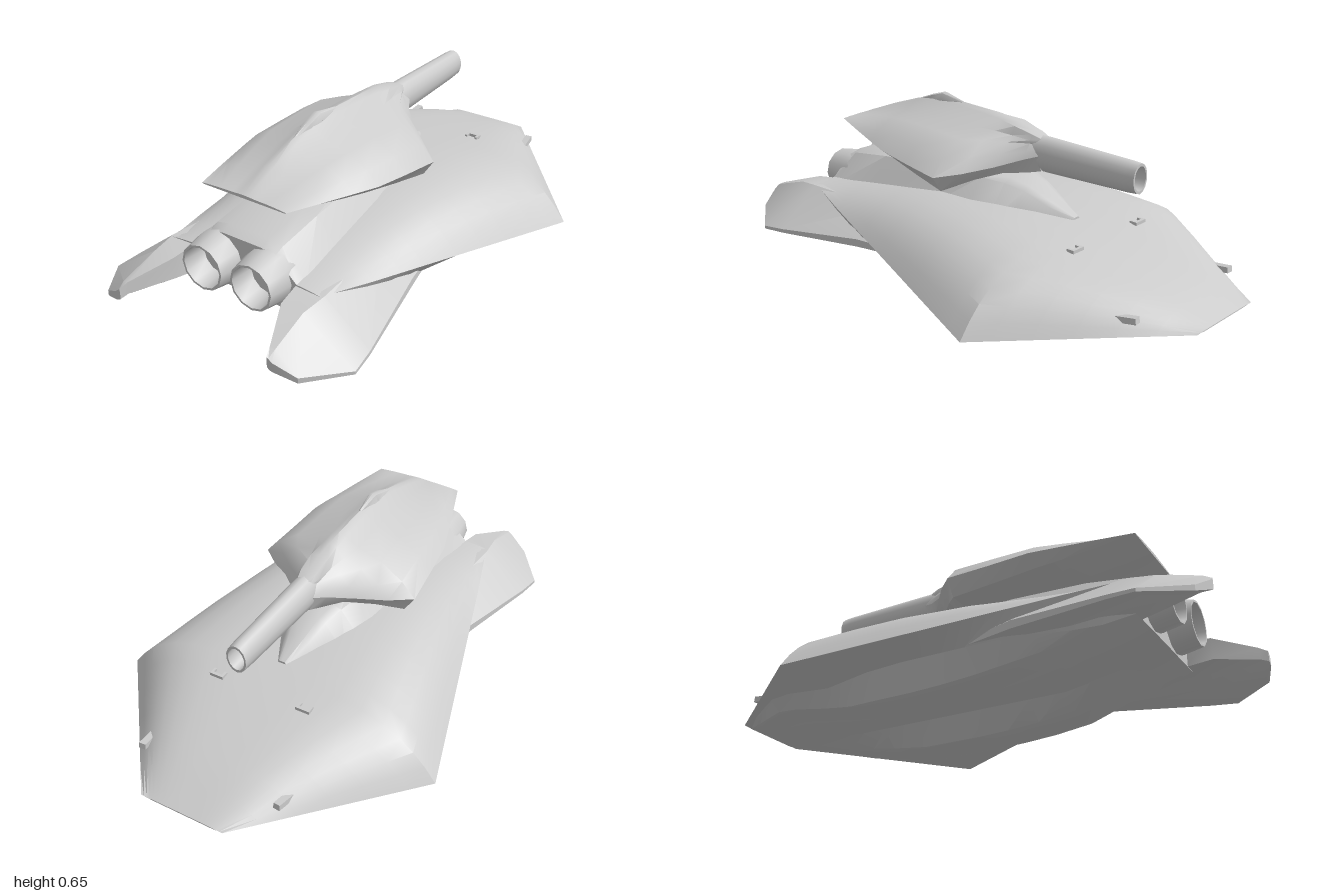
import * as THREE from 'three';
import { toCreasedNormals } from 'three/addons/utils/BufferGeometryUtils.js';

const grey = new THREE.MeshStandardMaterial({ color: 0xcccccc });
const greyOpen = new THREE.MeshStandardMaterial({ color: 0xcccccc, side: THREE.DoubleSide });

function part(name, geometry, material = grey) {
  const mesh = new THREE.Mesh(geometry, material);
  mesh.name = name;
  return mesh;
}

// Linear look-up in a short list of [z, value] keys
function at(keys, z) {
  for (let i = 1; i < keys.length; i++) {
    const [z0, a] = keys[i - 1], [z1, b] = keys[i];
    if (z <= z1) return a + (b - a) * Math.max(0, (z - z0) / (z1 - z0));
  }
  return keys[keys.length - 1][1];
}

// Skin over rings ordered by rising z; each ring runs clockwise seen from +z
function loft(rings, crease = 0.6) {
  const n = rings[0].length, pos = [], idx = [];
  rings.forEach(r => r.forEach(p => pos.push(...p)));
  for (let i = 0; i < rings.length - 1; i++) {
    for (let j = 0; j < n; j++) {
      const k = (j + 1) % n, a = i * n + j, b = i * n + k;
      idx.push(a, a + n, b + n, a, b + n, b);
    }
  }
  [0, rings.length - 1].forEach(i => {
    const c = [0, 1, 2].map(d => rings[i].reduce((s, p) => s + p[d], 0) / n);
    const m = pos.length / 3;
    pos.push(...c);
    for (let j = 0; j < n; j++) {
      const a = i * n + j, b = i * n + (j + 1) % n;
      if (i === 0) idx.push(m, a, b);
      else idx.push(m, b, a);
    }
  });
  const g = new THREE.BufferGeometry();
  g.setAttribute('position', new THREE.Float32BufferAttribute(pos, 3));
  g.setIndex(idx);
  return toCreasedNormals(g, crease);
}

// Full ring from its +x half, listed from top centre to bottom centre
function mirrorRing(half, z) {
  const right = half.map(([x, y]) => [x, y, z]);
  const left = half.slice(1, -1).reverse().map(([x, y]) => [-x, y, z]);
  return right.concat(left);
}

const edgeX = [[-1, 0.165], [-0.42, 0.65], [0.52, 0.385], [0.73, 0.32]];
const edgeY = [[-1, 0.11], [-0.42, 0.065], [0.55, 0.22], [0.73, 0.25]];
const deckY = [[-1, 0.112], [-0.9, 0.155], [-0.8, 0.193], [-0.6, 0.25], [-0.42, 0.287], [-0.25, 0.312],
  [-0.1, 0.325], [0.15, 0.325], [0.4, 0.3], [0.73, 0.262]];
const keelY = [[-1, 0.108], [-0.7, 0.058], [-0.5, 0.022], [-0.35, 0], [-0.1, 0], [0.1, 0.008], [0.3, 0.035],
  [0.55, 0.1], [0.73, 0.145]];
const grooveY = [[-1, 0.108], [-0.6, 0.09], [0.3, 0.09], [0.73, 0.146]];

function deckHeight(x, z) {
  const e = at(edgeY, z);
  return e + (at(deckY, z) - e) * (1 - Math.pow(x / at(edgeX, z), 4.2));
}

// Domed hull with two keel pods under it
function hull() {
  const zs = [-1, -0.9, -0.8, -0.7, -0.6, -0.5, -0.42, -0.35, -0.25, -0.1, 0.02, 0.15, 0.3, 0.4, 0.52, 0.62, 0.73];
  return loft(zs.map(z => {
    const ex = at(edgeX, z), ey = at(edgeY, z), k = at(keelY, z), g = at(grooveY, z);
    const s = Math.min(1, ex / 0.45);
    const half = [0, 0.2, 0.4, 0.55, 0.68, 0.78, 0.86, 0.93].map(u => [u * ex, deckHeight(u * ex, z)]);
    const shoulder = Math.max(k, Math.min(ey + 0.01, 0.11));
    half.push([ex, ey], [0.385 * s, shoulder], [0.335 * s, k + (shoulder - k) * 0.1], [0.3 * s, k], [0.22 * s, k],
      [0.175 * s, k + (g - k) * 0.12], [0.1 * s, g], [0, g]);
    return mirrorRing(half, z);
  }), 0.5);
}

// Raised engine housing running back from the middle of the deck: z, top y, top half width, base half width
function housing() {
  return loft([
    [-0.37, 0.302, 0.02, 0.05], [-0.27, 0.345, 0.05, 0.11], [-0.18, 0.385, 0.07, 0.16], [-0.1, 0.403, 0.09, 0.2],
    [0, 0.408, 0.11, 0.225], [0.2, 0.406, 0.13, 0.235], [0.5, 0.39, 0.14, 0.235], [0.69, 0.365, 0.14, 0.235],
    [0.73, 0.35, 0.14, 0.235],
  ].map(([z, t, a, b]) => mirrorRing(
    [[0, t], [a * 0.6, t], [a, t - 0.012], [b, Math.min(0.25, t - 0.03)], [b, 0.147], [0, 0.147]], z)), 0.6);
}

// Drooping rear fin, mirrored by side
function fin(side) {
  const sections = [
    [-0.1, [0.2, 0.2], [0.25, 0.19], [0.33, 0.125], [0.33, 0.115], [0.29, 0.115], [0.25, 0.12], [0.2, 0.12]],
    [0.35, [0.2, 0.245], [0.3, 0.24], [0.43, 0.145], [0.43, 0.115], [0.36, 0.115], [0.3, 0.13], [0.2, 0.14]],
    [0.72, [0.22, 0.255], [0.33, 0.25], [0.507, 0.11], [0.507, 0.095], [0.38, 0.115], [0.32, 0.145], [0.22, 0.145]],
    [0.82, [0.232, 0.243], [0.32, 0.241], [0.52, 0.102], [0.52, 0.09], [0.38, 0.112], [0.32, 0.145], [0.232, 0.16]],
    [0.97, [0.305, 0.2], [0.325, 0.197], [0.41, 0.125], [0.41, 0.105], [0.38, 0.11], [0.33, 0.138], [0.305, 0.155]],
    [1, [0.315, 0.185], [0.322, 0.18], [0.335, 0.17], [0.335, 0.135], [0.33, 0.136], [0.322, 0.14], [0.315, 0.145]],
  ];
  return loft(sections.map(([z, ...pts]) => {
    const ring = pts.map(([x, y]) => [side * x, y, z]);
    return side > 0 ? ring : ring.reverse();
  }), 0.45);
}

// Turret: z, ridge y, ridge half width, shoulder y, rim x, rim y, belly x, belly y
function turret() {
  return loft([
    [-0.225, 0.57, 0.02, 0.55, 0.048, 0.51, 0.03, 0.45],
    [-0.18, 0.585, 0.03, 0.56, 0.075, 0.495, 0.05, 0.44],
    [-0.1, 0.605, 0.035, 0.565, 0.15, 0.465, 0.1, 0.432],
    [-0.03, 0.615, 0.03, 0.572, 0.245, 0.447, 0.19, 0.41],
    [0.04, 0.622, 0.028, 0.577, 0.32, 0.435, 0.28, 0.375],
    [0.2, 0.63, 0.024, 0.582, 0.305, 0.45, 0.26, 0.402],
    [0.35, 0.628, 0.022, 0.58, 0.29, 0.467, 0.24, 0.43],
    [0.45, 0.602, 0.02, 0.566, 0.26, 0.477, 0.22, 0.448],
    [0.58, 0.56, 0.02, 0.54, 0.22, 0.49, 0.19, 0.473],
    [0.71, 0.512, 0.02, 0.51, 0.178, 0.503, 0.17, 0.5],
  ].map(([z, t, w, s, rx, ry, bx, by]) => mirrorRing([
    [0, t], [w, t - (t - s) * 0.2], [Math.max(w * 1.4, rx * 0.26), s], [rx * 0.56, ry + (s - ry) * 0.82],
    [rx * 0.83, ry + (s - ry) * 0.42], [rx, ry], [bx, by], [0, by],
  ], z)), 0.6);
}

// Small fairing on the turret ridge
function ridgeFairing() {
  return loft([[0.2, 0.632, 0.01], [0.3, 0.652, 0.022], [0.36, 0.634, 0.024], [0.46, 0.596, 0.006]]
    .map(([z, t, w]) => mirrorRing([[0, t], [w * 0.6, t - 0.004], [w, t - 0.03], [0, t - 0.05]], z)), 0.8);
}

// Hollow turned tube along z
function tube(profile, sides, direction, crease) {
  const g = new THREE.LatheGeometry(profile.map(p => new THREE.Vector2(...p)), sides);
  g.rotateX(direction * Math.PI / 2);
  return toCreasedNormals(g, crease);
}

export function createModel() {
  const model = new THREE.Group();
  model.name = 'hoverTank';
  model.add(part('hull', hull()), part('engineHousing', housing()));
  model.add(part('turret', turret()), part('ridgeFairing', ridgeFairing()));

  const barrel = part('barrel', tube(
    [[0.068, 0.15], [0.067, 0.25], [0.058, 0.6], [0.055, 0.64], [0.045, 0.64], [0.045, 0.5], [0, 0.5]],
    14, -1, 0.7), greyOpen);
  barrel.scale.x = 0.72;
  barrel.position.y = 0.509;
  model.add(barrel);

  for (const side of [1, -1]) {
    const label = side > 0 ? 'left' : 'right';
    model.add(part(label + 'Fin', fin(side)));

    // Thruster nozzle
    const nozzle = part(label + 'Nozzle', tube(
      [[0.098, 0.68], [0.1, 0.74], [0.086, 0.82], [0.078, 0.82], [0.07, 0.73], [0, 0.71]], 12, 1, 0.7), greyOpen);
    nozzle.position.set(side * 0.105, 0.25, 0);
    model.add(nozzle);

    // Small deck fittings: a nose vent and a bracket with two feet
    const vent = part(label + 'NoseVent', new THREE.BoxGeometry(0.026, 0.022, 0.075));
    vent.position.set(side * 0.28, deckHeight(0.28, -0.81) + 0.006, -0.81);
    vent.rotation.set(0.15, side * 0.1, 0);
    model.add(vent);
    const bracket = new THREE.Group();
    bracket.name = label + 'Bracket';
    const bar = part('bar', new THREE.BoxGeometry(0.055, 0.012, 0.012));
    bar.position.z = -0.01;
    bracket.add(bar);
    for (const x of [-0.022, 0.022]) {
      const foot = part('foot', new THREE.BoxGeometry(0.01, 0.012, 0.03));
      foot.position.x = x;
      bracket.add(foot);
    }
    bracket.position.set(side * 0.18, deckHeight(0.18, -0.51) + 0.004, -0.51);
    model.add(bracket);
  }
  return model;
}
